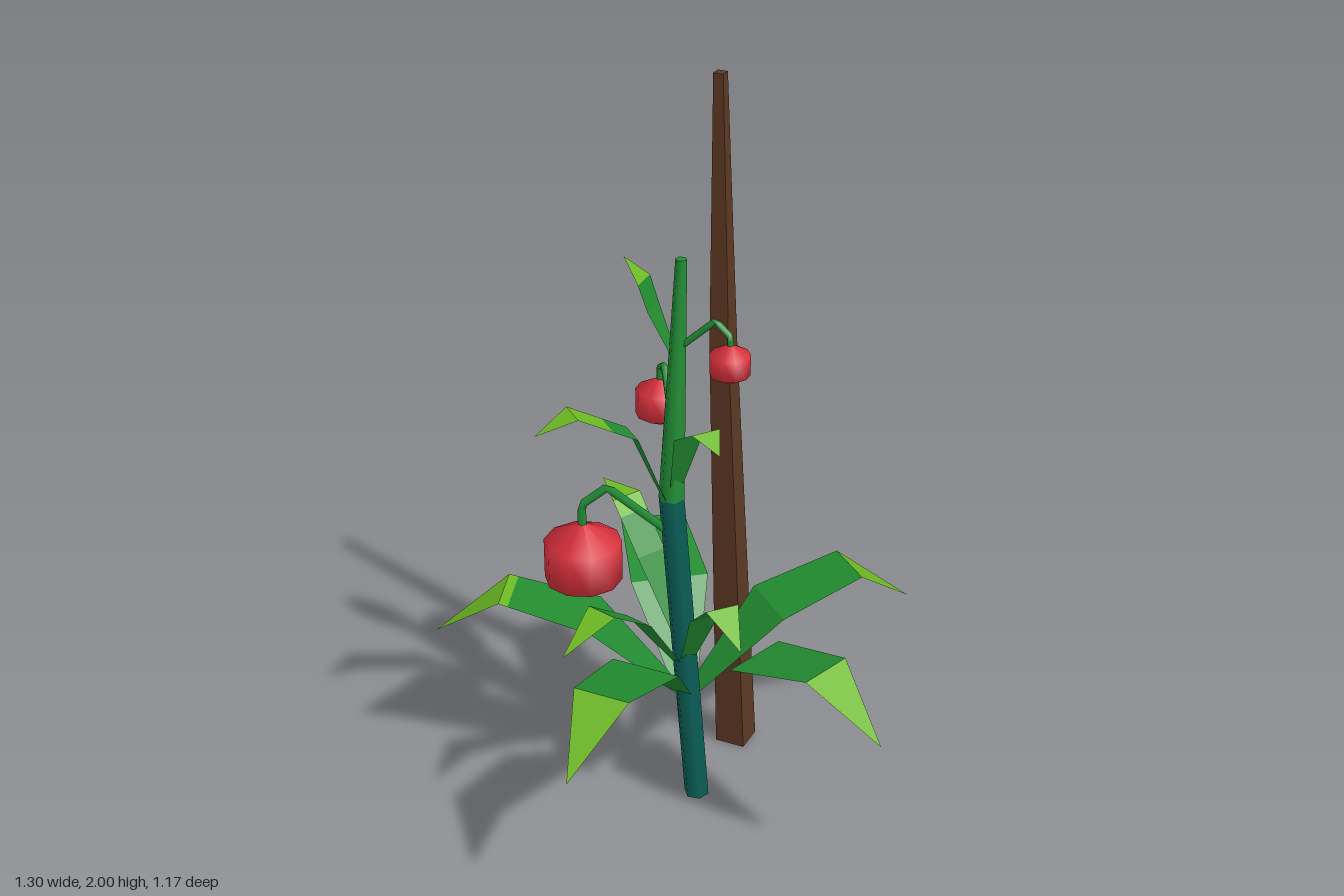
import * as THREE from 'three';

const mat = (name, color, extra = {}) => Object.assign(new THREE.MeshStandardMaterial({ color, ...extra }), { name });

export function createModel() {
  const group = new THREE.Group();
  const leafGreen = mat('leaf green', 0x228b30, { side: THREE.DoubleSide, flatShading: true });
  const lime = mat('lime leaf tip', 0x6cb824, { side: THREE.DoubleSide, flatShading: true });
  const teal = mat('lower stem teal', 0x0b5f58);
  const stemGreen = mat('upper stem green', 0x238f36);
  const red = mat('fruit red', 0xd8303c);
  const brown = mat('stake brown', 0x5c3823, { flatShading: true });

  const add = (name, geometry, material, parent = group) => {
    const mesh = new THREE.Mesh(geometry, material);
    mesh.name = name;
    parent.add(mesh);
    return mesh;
  };

  // Tapered, leaning post section between two [x, y, z, radius] stations
  const section = (a, b, sides, turn = 0) => {
    const h = b[1] - a[1];
    const g = new THREE.CylinderGeometry(b[3], a[3], h, sides).rotateY(turn);
    const p = g.attributes.position;
    for (let i = 0; i < p.count; i++) {
      const t = p.getY(i) / h + 0.5;
      p.setXYZ(i, p.getX(i) + a[0] + (b[0] - a[0]) * t, a[1] + h * t, p.getZ(i) + a[2] + (b[2] - a[2]) * t);
    }
    return g;
  };

  // Stem, in two colours
  const stem = [[0.006, 0, 0.065, 0.034], [-0.045, 0.9, -0.004, 0.035], [-0.022, 1.575, 0.012, 0.015]];
  add('lowerStem', section(stem[0], stem[1], 6), teal);
  add('upperStem', section(stem[1], stem[2], 6), stemGreen);

  // Wooden stake, square in section
  const stake = [[0.18, 0, -0.165, 0.06], [0.116, 1.28, -0.098, 0.038], [0.107, 2, -0.111, 0.019]];
  add('lowerStake', section(stake[0], stake[1], 4, 0.1), brown);
  add('upperStake', section(stake[1], stake[2], 4, 0.1), brown);

  // Strip of quads through rows of { c: centre, w: half width }
  const strip = (rows, side) => {
    const pos = [], index = [];
    rows.forEach(({ c, w }, i) => {
      pos.push(...c.clone().addScaledVector(side, -w).toArray(), ...c.clone().addScaledVector(side, w).toArray());
      if (i) index.push(2 * i - 2, 2 * i - 1, 2 * i, 2 * i - 1, 2 * i + 1, 2 * i);
    });
    const g = new THREE.BufferGeometry();
    g.setAttribute('position', new THREE.Float32BufferAttribute(pos, 3));
    g.setIndex(index);
    g.computeVertexNormals();
    return g;
  };

  // Leaf from root [x, z] to tip [x, z]; profile rows are [fraction, height, half width];
  // the lime tip begins at row number `cut`, which may be fractional
  const leaf = (name, root, tip, profile, cut = 2) => {
    const dx = tip[0] - root[0], dz = tip[1] - root[1];
    const side = new THREE.Vector3(-dz, 0, dx).normalize();
    const rows = profile.map(([t, y, w]) => ({ c: new THREE.Vector3(root[0] + dx * t, y, root[1] + dz * t), w }));
    const k = Math.floor(cut), f = cut - k;
    const edge = { c: rows[k].c.clone().lerp(rows[k + 1].c, f), w: rows[k].w + (rows[k + 1].w - rows[k].w) * f };
    const g = new THREE.Group();
    g.name = name;
    add('blade', strip([...rows.slice(0, f ? k + 1 : k), edge], side), leafGreen, g);
    add('tip', strip([edge, ...rows.slice(k + 1)], side), lime, g);
    group.add(g);
  };

  // Large lower whorl
  const big = [[0, 0.29, 0.02], [0.36, 0.53, 0.095], [0.72, 0.595, 0.077], [1, 0.45, 0]];
  const broad = [[0, 0.29, 0.025], [0.37, 0.53, 0.108], [0.76, 0.595, 0.09], [1, 0.45, 0]];
  const root = [-0.01, 0.02];
  leaf('lowerLeafLeft', root, [0.65, -0.085], big);
  leaf('lowerLeafBack', root, [0.01, -0.59], broad, 2.5);
  leaf('lowerLeafRight', root, [-0.65, -0.225], big, 1.9);
  leaf('lowerLeafFrontRight', root, [-0.445, 0.545], big);
  leaf('lowerLeafFrontLeft', root, [0.35, 0.585], big);

  // Middle leaves
  const mid = [[0, 0.38, 0.015], [0.38, 0.62, 0.042], [0.68, 0.715, 0.045], [1, 0.65, 0]];
  leaf('middleLeafRight', [-0.02, 0.02], [-0.4, 0.295], mid);
  leaf('middleLeafFront', [-0.02, 0.02], [0.04, 0.38], mid);
  leaf('middleLeafBack', [-0.03, 0], [-0.165, -0.295],
    [[0, 0.48, 0.015], [0.35, 0.68, 0.045], [0.68, 0.81, 0.045], [1, 0.82, 0]], 1.7);

  // Upper leaves
  leaf('upperLeafRight', [-0.05, 0], [-0.41, 0.057],
    [[0, 0.86, 0.015], [0.28, 1.11, 0.042], [0.72, 1.2, 0.042], [1, 1.155, 0]], 1.42);
  leaf('upperLeafFront', [-0.04, 0.01], [0.018, 0.243],
    [[0, 0.92, 0.015], [0.32, 1.12, 0.042], [0.7, 1.175, 0.04], [1, 1.14, 0]], 1.4);
  leaf('topLeaf', [-0.03, 0], [-0.145, -0.085],
    [[0, 1.29, 0.012], [0.45, 1.43, 0.036], [0.62, 1.5, 0.038], [1, 1.555, 0]]);

  // Hanging fruits on hooked stalks
  const fruit = (name, radius, centre, path, thick) => {
    const g = new THREE.Group();
    g.name = name;
    const profile = [[0, -1], [0.92, -0.5], [0.92, 0.5], [0, 1]].map(([r, y]) => new THREE.Vector2(r * radius, y * radius));
    add('fruit', new THREE.LatheGeometry(profile, 10), red, g).position.set(...centre);
    const pts = [...path, [centre[0], centre[1] + radius * 0.9, centre[2]]].map(p => new THREE.Vector3(...p));
    const curve = new THREE.CurvePath();
    for (let i = 1; i < pts.length; i++) curve.add(new THREE.LineCurve3(pts[i - 1], pts[i]));
    add('stalk', new THREE.TubeGeometry(curve, 16, thick, 5), stemGreen, g);
    group.add(g);
  };
  fruit('largeFruit', 0.112, [-0.274, 0.725, -0.045],
    [[-0.04, 0.79, 0], [-0.21, 0.94, -0.03], [-0.274, 0.89, -0.045]], 0.012);
  fruit('mediumFruit', 0.07, [-0.04, 1.11, -0.148],
    [[-0.04, 1.1, 0], [-0.04, 1.235, -0.1], [-0.04, 1.21, -0.145]], 0.01);
  fruit('smallFruit', 0.056, [0.085, 1.31, 0.083],
    [[-0.03, 1.33, 0.005], [0.053, 1.42, 0.058], [0.085, 1.385, 0.083]], 0.009);

  return group;
}
